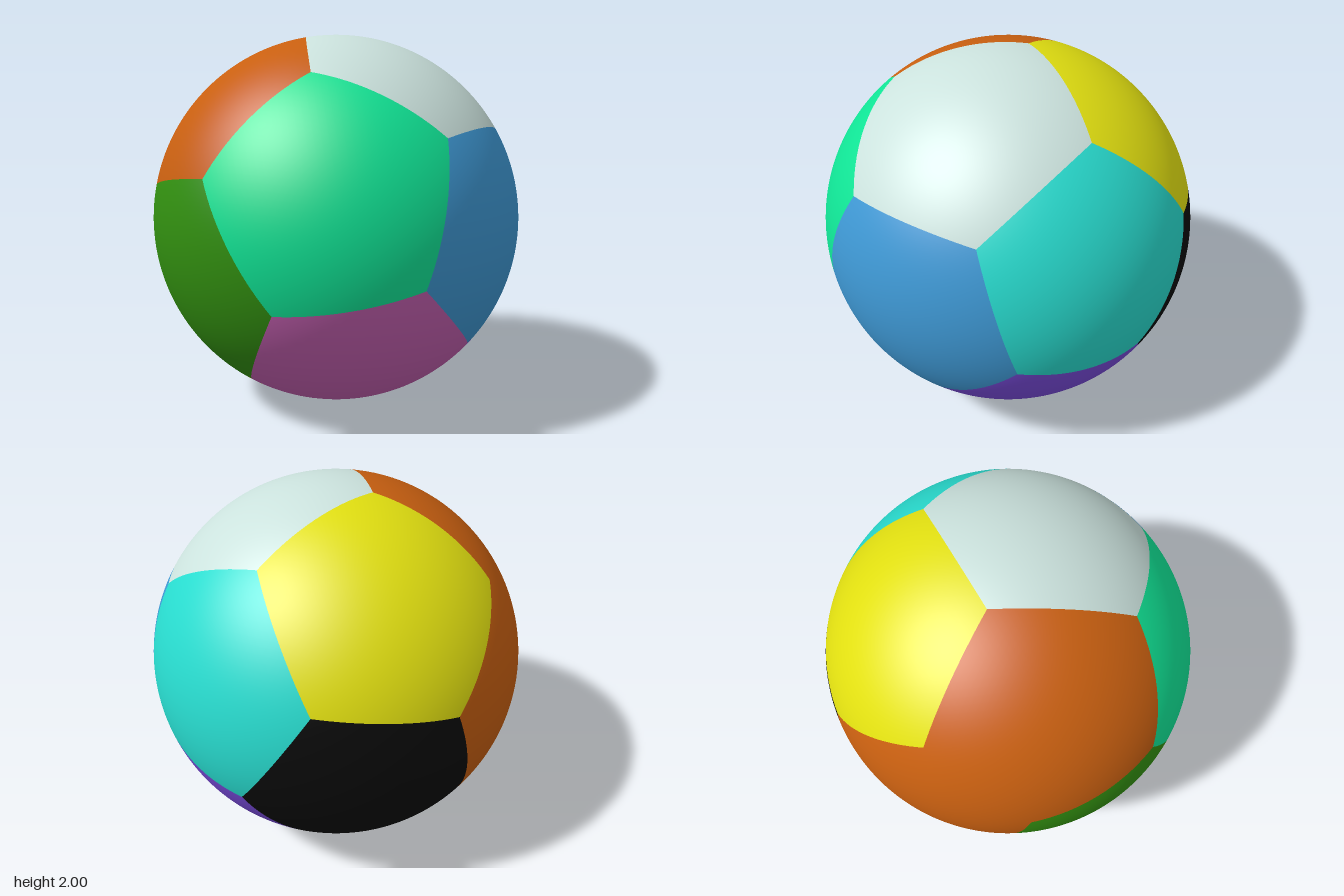
import * as THREE from 'three';

const mat = (name, color) => {
  const m = new THREE.MeshStandardMaterial({ color });
  m.name = name;
  return m;
};

// One curved pentagon of the unit sphere: five fans around the centre, each finely subdivided
function pentagonPatch(centre, neighbour, n = 18) {
  const u = neighbour.clone().addScaledVector(centre, -neighbour.dot(centre)).normalize();
  const w = centre.clone().cross(u);
  const polar = THREE.MathUtils.degToRad(37.3774);
  const corner = (k) => {
    const a = ((k + 0.5) * Math.PI * 2) / 5;
    return centre.clone().multiplyScalar(Math.cos(polar))
      .addScaledVector(u, Math.sin(polar) * Math.cos(a))
      .addScaledVector(w, Math.sin(polar) * Math.sin(a));
  };
  const pos = [], index = [];
  for (let k = 0; k < 5; k++) {
    const a = corner(k), b = corner(k + 1);
    const base = pos.length / 3;
    const id = (i, j) => base + (i * (i + 1)) / 2 + j;
    for (let i = 0; i <= n; i++) {
      for (let j = 0; j <= i; j++) {
        const p = centre.clone().multiplyScalar((n - i) / n)
          .addScaledVector(a, (i - j) / n)
          .addScaledVector(b, j / n)
          .normalize();
        pos.push(p.x, p.y, p.z);
        if (i < n) index.push(id(i, j), id(i + 1, j), id(i + 1, j + 1));
        if (i < n && j < i) index.push(id(i, j), id(i + 1, j + 1), id(i, j + 1));
      }
    }
  }
  const geo = new THREE.BufferGeometry();
  geo.setAttribute('position', new THREE.Float32BufferAttribute(pos, 3));
  // On a unit sphere the normal equals the position
  geo.setAttribute('normal', new THREE.Float32BufferAttribute(pos.slice(), 3));
  geo.setIndex(index);
  return geo;
}

export function createModel() {
  const orange = mat('orange', 0xc85f10);
  const yellow = mat('yellow', 0xe2e010);
  const blue = mat('blue', 0x3e98d4);
  // Five panels around the left pole, then the panel opposite each one
  const ring = [
    mat('pale grey', 0xcbe2dd), mat('mint', 0x10e495), mat('magenta', 0xc45fb0),
    mat('purple', 0x784ada), mat('turquoise', 0x28dccf),
  ];
  const opposite = [yellow, mat('black', 0x0a0a0a), yellow, orange, mat('green', 0x329010)];

  const panels = [
    { name: 'leftPanel', dir: new THREE.Vector3(1, 0, 0), material: blue },
    { name: 'rightPanel', dir: new THREE.Vector3(-1, 0, 0), material: orange },
  ];
  for (let k = 0; k < 5; k++) {
    const a = (k * Math.PI * 2) / 5;
    const dir = new THREE.Vector3(1, 2 * Math.cos(a), 2 * Math.sin(a)).normalize();
    panels.push({ name: `leftRingPanel${k + 1}`, dir, material: ring[k] });
    panels.push({ name: `rightRingPanel${k + 1}`, dir: dir.clone().negate(), material: opposite[k] });
  }

  const ball = new THREE.Group();
  ball.name = 'ball';
  for (const p of panels) {
    const next = panels.find((q) => Math.abs(q.dir.dot(p.dir) - 1 / Math.sqrt(5)) < 0.01);
    const mesh = new THREE.Mesh(pentagonPatch(p.dir, next.dir), p.material);
    mesh.name = p.name;
    mesh.position.y = 1;
    ball.add(mesh);
  }
  return ball;
}
